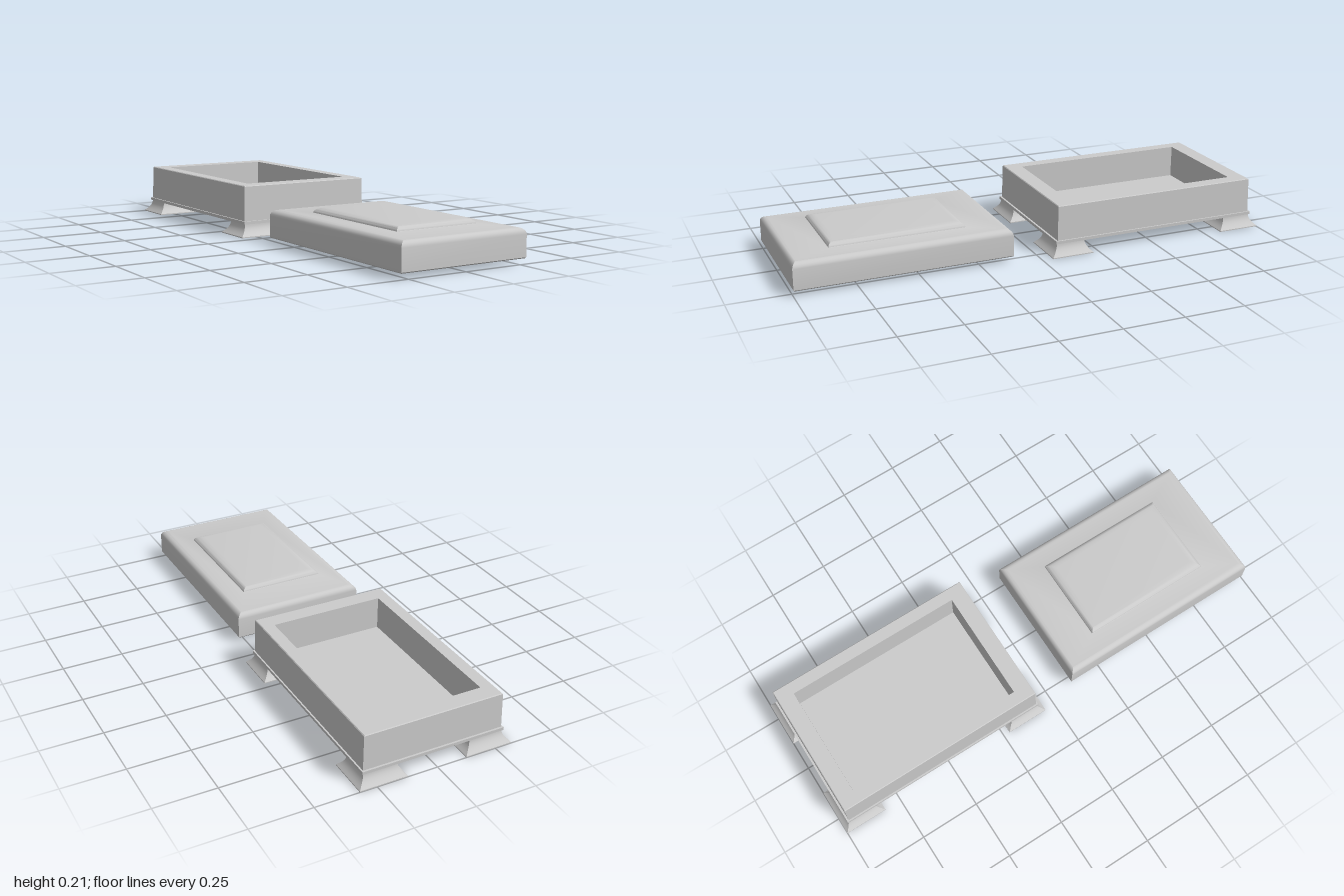
import * as THREE from 'three';
import { toCreasedNormals } from 'three/addons/utils/BufferGeometryUtils.js';

const material = new THREE.MeshStandardMaterial({ color: 0xcccccc });

// Skins a stack of rectangles [halfX, halfZ, y] and caps both ends
function loft(name, rings, crease = 0.7) {
  const pos = [];
  const corners = rings.map(([x, z, y]) => [[-x, y, z], [x, y, z], [x, y, -z], [-x, y, -z]]);
  const quad = (a, b, c, d) => pos.push(...a, ...b, ...c, ...a, ...c, ...d);
  for (let r = 0; r < corners.length - 1; r++) {
    const lo = corners[r], hi = corners[r + 1];
    for (let i = 0; i < 4; i++) {
      const j = (i + 1) % 4;
      quad(lo[i], lo[j], hi[j], hi[i]);
    }
  }
  const first = corners[0], last = corners[corners.length - 1];
  quad(first[3], first[2], first[1], first[0]);
  quad(last[0], last[1], last[2], last[3]);
  const geometry = new THREE.BufferGeometry();
  geometry.setAttribute('position', new THREE.Float32BufferAttribute(pos, 3));
  const mesh = new THREE.Mesh(toCreasedNormals(geometry, crease), material);
  mesh.name = name;
  return mesh;
}

// Quarter-round step inward between two heights
function rounded(halfX, halfZ, yLow, insetX, insetZ, height, steps = 5) {
  return Array.from({ length: steps + 1 }, (_, i) => {
    const a = (i / steps) * Math.PI / 2;
    const inset = 1 - Math.cos(a);
    return [halfX - insetX * inset, halfZ - insetZ * inset, yLow + height * Math.sin(a)];
  });
}

export function createModel() {
  const model = new THREE.Group();
  model.name = 'boxWithLid';

  // Open box: outside walls, rim, cavity walls, floor
  const box = new THREE.Group();
  box.name = 'box';
  box.position.z = -0.522;
  box.add(loft('boxBody', [
    [0.292, 0.447, 0.05],
    [0.289, 0.444, 0.207],
    [0.286, 0.441, 0.21],
    [0.237, 0.374, 0.21],
    [0.235, 0.372, 0.075],
  ]));

  // Thin moulding round the base
  box.add(loft('baseMoulding', [[0.298, 0.455, 0.052], [0.298, 0.455, 0.064]]));

  // Four flared feet, one per corner
  for (const sx of [-1, 1]) {
    for (const sz of [-1, 1]) {
      const rings = [[0.098, 0.089, 0], [0.098, 0.089, 0.004]];
      for (let i = 1; i <= 6; i++) {
        const t = i / 6;
        const flare = 0.028 * (1 - t) ** 2;
        rings.push([0.07 + flare, 0.061 + flare, 0.004 + 0.048 * t]);
      }
      const foot = loft('foot', rings);
      foot.position.set(sx * 0.222, 0, sz * 0.389);
      box.add(foot);
    }
  }
  model.add(box);

  // Lid: recessed underside, soft-edged slab, raised panel on top
  const lid = loft('lid', [
    [0.228, 0.373, 0.085],
    [0.23, 0.375, 0.021],
    [0.277, 0.441, 0.021],
    [0.28, 0.444, 0.025],
    ...rounded(0.28, 0.444, 0.11, 0.03, 0.025, 0.025),
    [0.182, 0.281, 0.135],
    ...rounded(0.18, 0.279, 0.136, 0.04, 0.035, 0.02),
  ], 0.6);
  lid.position.z = 0.555;
  model.add(lid);

  return model;
}
